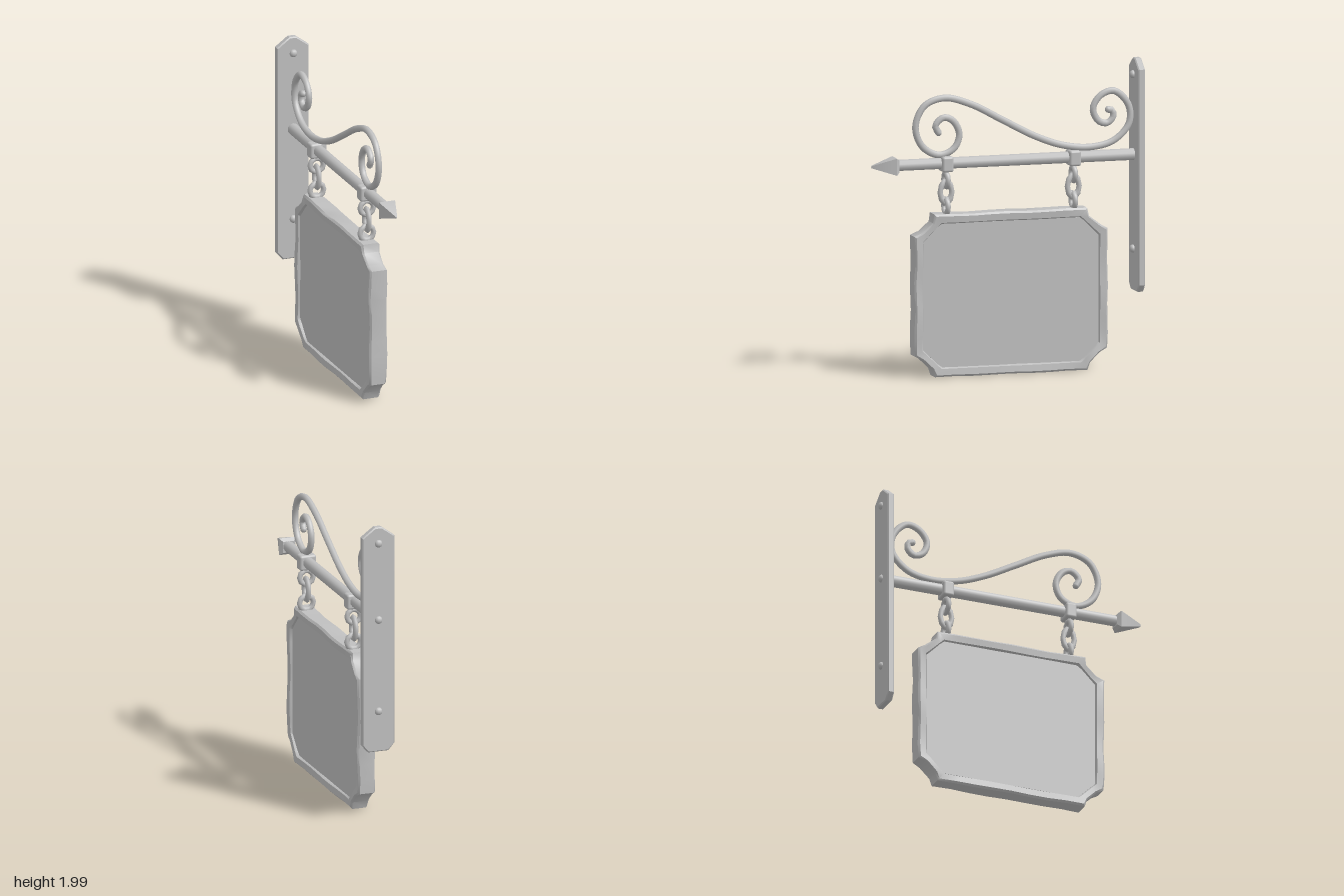
import * as THREE from 'three';
import { toCreasedNormals } from 'three/addons/utils/BufferGeometryUtils.js';
import { RoundedBoxGeometry } from 'three/addons/geometries/RoundedBoxGeometry.js';

const grey = new THREE.MeshStandardMaterial({ color: 0xbfbfbf });
grey.name = 'weathered grey';

const BAR_Y = 1.377;
const CHAIN_Z = [0.405, -0.44];
const SIGN = { x: -0.008, y: 0.532, z: -0.015 };

function add(parent, name, geometry, x = 0, y = 0, z = 0) {
  const mesh = new THREE.Mesh(geometry, grey);
  mesh.name = name;
  mesh.position.set(x, y, z);
  parent.add(mesh);
  return mesh;
}

// One quarter of the sign outline (half width, half height), outer and inner edge of the frame
const OUTER = [[0.64, 0.385], [0.59, 0.41], [0.52, 0.47], [0.507, 0.522]];
const INNER = [[0.58, 0.345], [0.547, 0.378], [0.487, 0.438], [0.455, 0.46]];

// Mirrors the quarter into a counter-clockwise outline with subdivided straight edges
function outline(t) {
  const quarter = OUTER.map(([a, b], i) => new THREE.Vector2(
    THREE.MathUtils.lerp(a, INNER[i][0], t), THREE.MathUtils.lerp(b, INNER[i][1], t)));
  const flip = (sx, sy) => quarter.map((p) => new THREE.Vector2(p.x * sx, p.y * sy));
  const corners = [
    ...flip(1, 1), ...flip(-1, 1).reverse(), ...flip(-1, -1), ...flip(1, -1).reverse(),
  ];
  const points = [];
  corners.forEach((p, i) => {
    const next = corners[(i + 1) % corners.length];
    const steps = i % 4 === 3 ? 8 : 1;
    for (let k = 0; k < steps; k++) points.push(p.clone().lerp(next, k / steps));
  });
  return points;
}

// Carved frame: a bevelled cross-section swept around the outline, slightly uneven
function frameGeometry() {
  const section = [
    [1, -0.038], [0.85, -0.056], [0.2, -0.06], [0, -0.048],
    [0, 0.048], [0.2, 0.06], [0.85, 0.056], [1, 0.038],
  ];
  const rings = section.map(([t]) => outline(t));
  const count = rings[0].length;
  const positions = [];
  const indices = [];
  section.forEach(([t, depth], j) => rings[j].forEach((p, i) => {
    const wobble = 0.005 * Math.sin(i * 1.9) * (1 - t);
    const dent = 1 + 0.07 * Math.sin(i * 1.3 + (depth > 0 ? 1 : 0));
    positions.push(depth * dent, p.y * (1 + wobble), -p.x * (1 + wobble));
  }));
  for (let j = 0; j < section.length; j++) {
    const k = (j + 1) % section.length;
    for (let i = 0; i < count; i++) {
      const n = (i + 1) % count;
      const a = j * count + i, b = j * count + n, c = k * count + n, d = k * count + i;
      indices.push(a, b, c, a, c, d);
    }
  }
  const geometry = new THREE.BufferGeometry();
  geometry.setAttribute('position', new THREE.Float32BufferAttribute(positions, 3));
  geometry.setIndex(indices);
  return toCreasedNormals(geometry, 0.75);
}

function buildSign() {
  const sign = new THREE.Group();
  sign.name = 'signBoard';
  sign.position.set(SIGN.x, SIGN.y, SIGN.z);
  add(sign, 'signFrame', frameGeometry());
  const panel = new THREE.ExtrudeGeometry(new THREE.Shape(outline(0.97)), { depth: 0.084, bevelEnabled: false });
  panel.translate(0, 0, -0.042).rotateY(Math.PI / 2);
  add(sign, 'signPanel', panel);
  return sign;
}

// Wall plate with a peaked top, chamfered foot and three through bolts
function buildWallPlate() {
  const plate = new THREE.Group();
  plate.name = 'wallPlate';
  const shape = new THREE.Shape([
    [-0.065, 0.508], [0.065, 0.508], [0.102, 0.55], [0.102, 1.93],
    [0.02, 1.99], [-0.02, 1.99], [-0.102, 1.93], [-0.102, 0.55],
  ].map(([x, y]) => new THREE.Vector2(x, y)));
  const board = new THREE.ExtrudeGeometry(shape, {
    depth: 0.032, bevelSize: 0.007, bevelThickness: 0.007, bevelSegments: 1,
  });
  add(plate, 'plateBoard', toCreasedNormals(board, 0.6), 0, 0, -0.879);
  for (const y of [1.89, 1.38, 0.77]) {
    for (const z of [-0.835, -0.884]) {
      add(plate, 'bolt', new THREE.SphereGeometry(0.026, 10, 8), 0, y, z).scale.z = 0.85;
    }
  }
  return plate;
}

// Horizontal bar with a spear tip
function buildBar() {
  const bar = new THREE.Group();
  bar.name = 'bracketBar';
  const rod = new THREE.CylinderGeometry(0.036, 0.038, 1.6, 10).rotateX(Math.PI / 2);
  add(bar, 'rod', rod, 0, BAR_Y, -0.05);
  const profile = [[0, 0], [0.052, 0], [0.078, 0.022], [0.066, 0.05], [0.012, 0.172], [0, 0.18]]
    .map(([r, h]) => new THREE.Vector2(r, h));
  const tip = new THREE.LatheGeometry(profile, 4, Math.PI / 4).rotateX(Math.PI / 2);
  add(bar, 'spearTip', toCreasedNormals(tip, 0.7), 0, BAR_Y - 0.003, 0.724);
  return bar;
}

// S-shaped ornament curling at both ends, given as z, y
function buildScroll() {
  const path = [
    [0.455, 1.575], [0.476, 1.62], [0.423, 1.67], [0.36, 1.648], [0.317, 1.563], [0.349, 1.473],
    [0.45, 1.431], [0.561, 1.489], [0.608, 1.616], [0.55, 1.749], [0.418, 1.796], [0.243, 1.749],
    [0.032, 1.638], [-0.18, 1.526], [-0.365, 1.458], [-0.55, 1.436], [-0.709, 1.473],
    [-0.81, 1.579], [-0.804, 1.701], [-0.709, 1.791], [-0.62, 1.764], [-0.571, 1.685],
    [-0.603, 1.606], [-0.661, 1.585], [-0.704, 1.622], [-0.698, 1.665], [-0.672, 1.672],
  ].map(([z, y]) => new THREE.Vector3(0, y, z));
  const scroll = new THREE.Group();
  scroll.name = 'scroll';
  add(scroll, 'scrollRod', new THREE.TubeGeometry(new THREE.CatmullRomCurve3(path), 140, 0.022, 8));
  for (const end of [path[0], path[path.length - 1]]) {
    add(scroll, 'scrollEnd', new THREE.SphereGeometry(0.022, 8, 6), 0, end.y, end.z);
  }
  return scroll;
}

// Collar around the bar and three interlocked links down to the board
function buildHanger(z) {
  const hanger = new THREE.Group();
  hanger.name = 'hanger';
  hanger.position.z = z;
  add(hanger, 'collar', new RoundedBoxGeometry(0.112, 0.1, 0.075, 2, 0.015), 0, 1.374, 0);
  const link = (radius) => new THREE.TorusGeometry(radius, 0.018, 8, 10);
  add(hanger, 'upperRing', link(0.046), 0, 1.27, 0);
  const middle = add(hanger, 'middleLink', link(0.039), 0, 1.19, 0);
  middle.rotation.y = Math.PI / 2;
  middle.scale.y = 1.6;
  add(hanger, 'lowerRing', link(0.047), 0, 1.1, 0);
  return hanger;
}

export function createModel() {
  const model = new THREE.Group();
  model.name = 'hangingSign';
  model.add(buildWallPlate(), buildBar(), buildScroll(), buildSign());
  for (const z of CHAIN_Z) model.add(buildHanger(z));
  return model;
}
